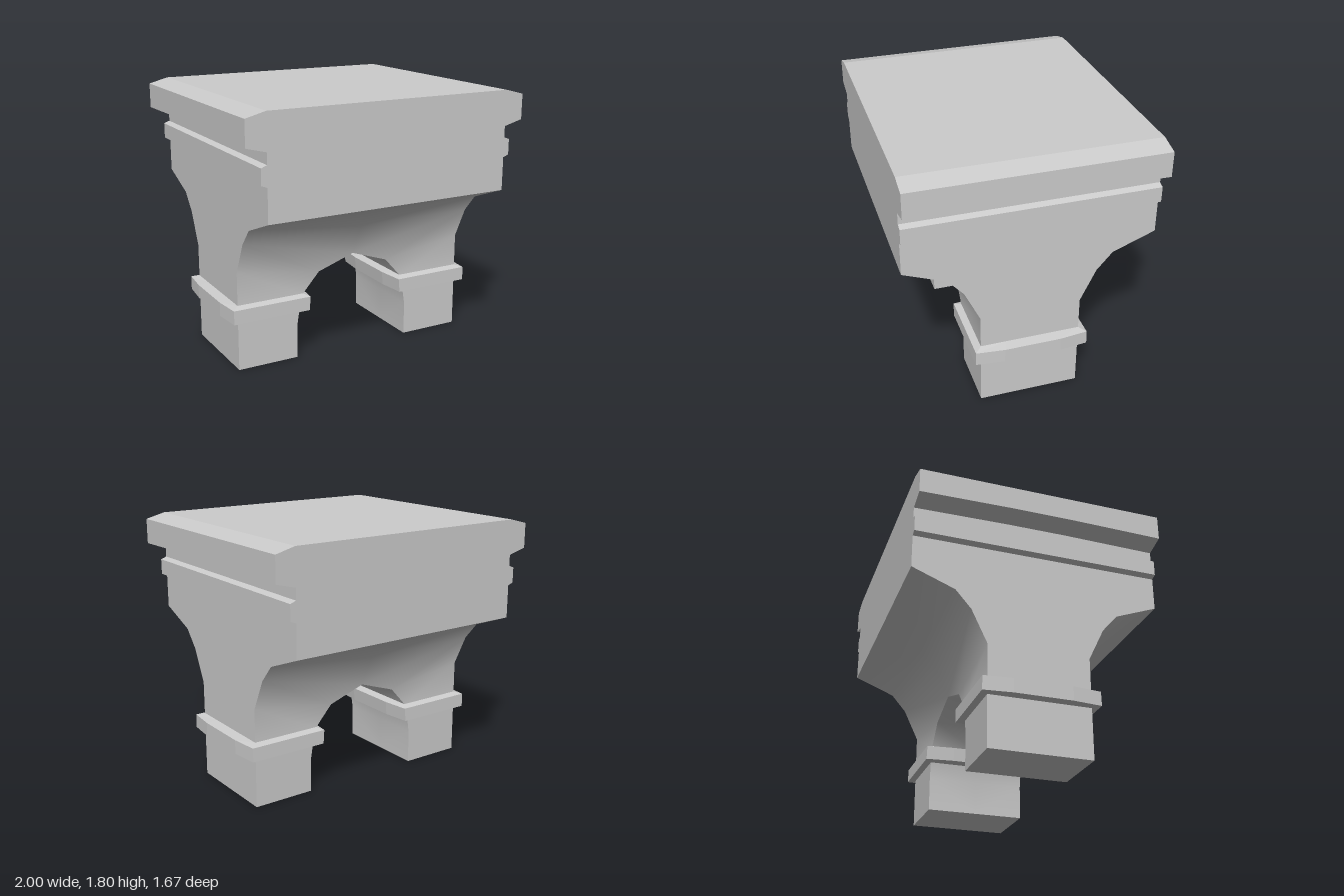
import * as THREE from 'three';
import { toCreasedNormals } from 'three/addons/utils/BufferGeometryUtils.js';

const W = 0.865, D = 0.835, LEG_Z = 0.34;

function geometryFrom(tris) {
  const g = new THREE.BufferGeometry();
  g.setAttribute('position', new THREE.Float32BufferAttribute(tris.flat(2), 3));
  g.computeVertexNormals();
  return g;
}

// Upper block: moulded cross-section extruded along the depth
function blockGeometry() {
  const right = [[W, 1.13], [W, 1.355], [0.905, 1.37], [0.905, 1.475], [W, 1.49],
    [W, 1.565], [1, 1.6], [1, 1.77], [W, 1.805]];
  const left = right.map(([x, y]) => [-x, y]).reverse();
  const shape = new THREE.Shape([...right, ...left].map(p => new THREE.Vector2(...p)));
  const g = new THREE.ExtrudeGeometry(shape, { depth: 2 * D, steps: 8, bevelEnabled: false });
  g.translate(0, 0, -D);
  // the underside of the cornice rises slightly towards the middle
  const p = g.attributes.position;
  for (let i = 0; i < p.count; i++) {
    const y = p.getY(i);
    if (y > 1.55 && y < 1.65) {
      const t = Math.min(1, (D - Math.abs(p.getZ(i))) / (D - 0.2));
      p.setY(i, y + 0.01 * t);
    }
  }
  g.computeVertexNormals();
  return g;
}

// Flared vault with arch and legs: one quarter, mirrored four ways
function vaultGeometry() {
  const flare = [[1.13, D], [1.02, 0.55], [0.9, 0.445], [0.68, LEG_Z], [0, LEG_Z]]; // y, z
  const arch = [[0, 0.68], [0.265, 0.59], [0.39, 0.45], [0.415, 0.34], [0.432, 0.23], [0.432, 0]]; // x, y
  const quarter = [];
  const tri = (a, b, c) => quarter.push([a, b, c]);
  const quad = (a, b, c, d) => { tri(a, b, c); tri(a, c, d); };

  for (let i = 0; i < flare.length - 1; i++) {
    const [yu, zu] = flare[i], [yl, zl] = flare[i + 1];
    // outer side wall
    quad([W, yl, zl], [W, yl, 0], [W, yu, 0], [W, yu, zu]);
    // curved soffit
    if (i < 2) quad([0, yl, zl], [W, yl, zl], [W, yu, zu], [0, yu, zu]);
  }
  // transition from the flare down to the arch crown
  const A = [0, 0.9, 0.445], B = [W, 0.9, 0.445], R = [W, 0.68, LEG_Z];
  const P = [...arch[0], LEG_Z], Q = [...arch[1], LEG_Z];
  tri(A, P, B);
  tri(B, P, Q);
  tri(B, Q, R);
  // leg face and arch underside
  for (let i = 0; i < arch.length - 1; i++) {
    const [xu, yu] = arch[i], [xl, yl] = arch[i + 1];
    quad([xl, yl, 0], [xl, yl, LEG_Z], [xu, yu, LEG_Z], [xu, yu, 0]);
    if (i > 0) {
      quad([xl, yl, LEG_Z], [W, yl, LEG_Z], [W, i === 1 ? 0.68 : yu, LEG_Z], [xu, yu, LEG_Z]);
    }
  }
  // foot
  quad([0.432, 0, 0], [W, 0, 0], [W, 0, LEG_Z], [0.432, 0, LEG_Z]);

  const tris = [];
  for (const sx of [1, -1]) for (const sz of [1, -1]) {
    for (const t of quarter) {
      const m = t.map(([x, y, z]) => [x * sx, y, z * sz]);
      tris.push(sx * sz < 0 ? m.reverse() : m);
    }
  }
  return toCreasedNormals(geometryFrom(tris), 0.61);
}

// Collar around a leg: stacked rings with slightly bowed inner and outer sides
function collarGeometry() {
  const ring = (y, xi, xo, z, bow) => [
    [xo, y, z], [xo + bow, y, z * 0.5], [xo + bow, y, -z * 0.5], [xo, y, -z],
    [xi, y, -z], [xi - bow, y, -z * 0.5], [xi - bow, y, z * 0.5], [xi, y, z]];
  const rings = [
    ring(0.342, 0.42, W, LEG_Z, 0),
    ring(0.345, 0.36, 0.91, 0.387, 0.02),
    ring(0.44, 0.352, 0.91, 0.385, 0.02),
    ring(0.455, 0.385, W, LEG_Z, 0)];
  const tris = [];
  for (let r = 0; r < rings.length - 1; r++) {
    for (let i = 0; i < 8; i++) {
      const j = (i + 1) % 8, lo = rings[r], hi = rings[r + 1];
      tris.push([lo[i], lo[j], hi[j]], [lo[i], hi[j], hi[i]]);
    }
  }
  return geometryFrom(tris);
}

export function createModel() {
  const group = new THREE.Group();
  const smooth = new THREE.MeshStandardMaterial({ color: 0xcccccc });
  const flat = new THREE.MeshStandardMaterial({ color: 0xcccccc, flatShading: true });
  const add = (name, geometry, material) => {
    const mesh = new THREE.Mesh(geometry, material);
    mesh.name = name;
    group.add(mesh);
    return mesh;
  };
  add('corniceBlock', blockGeometry(), flat);
  add('vaultAndLegs', vaultGeometry(), smooth);
  const collar = collarGeometry();
  add('leftCollar', collar, flat);
  add('rightCollar', collar, flat).rotation.y = Math.PI;
  return group;
}
